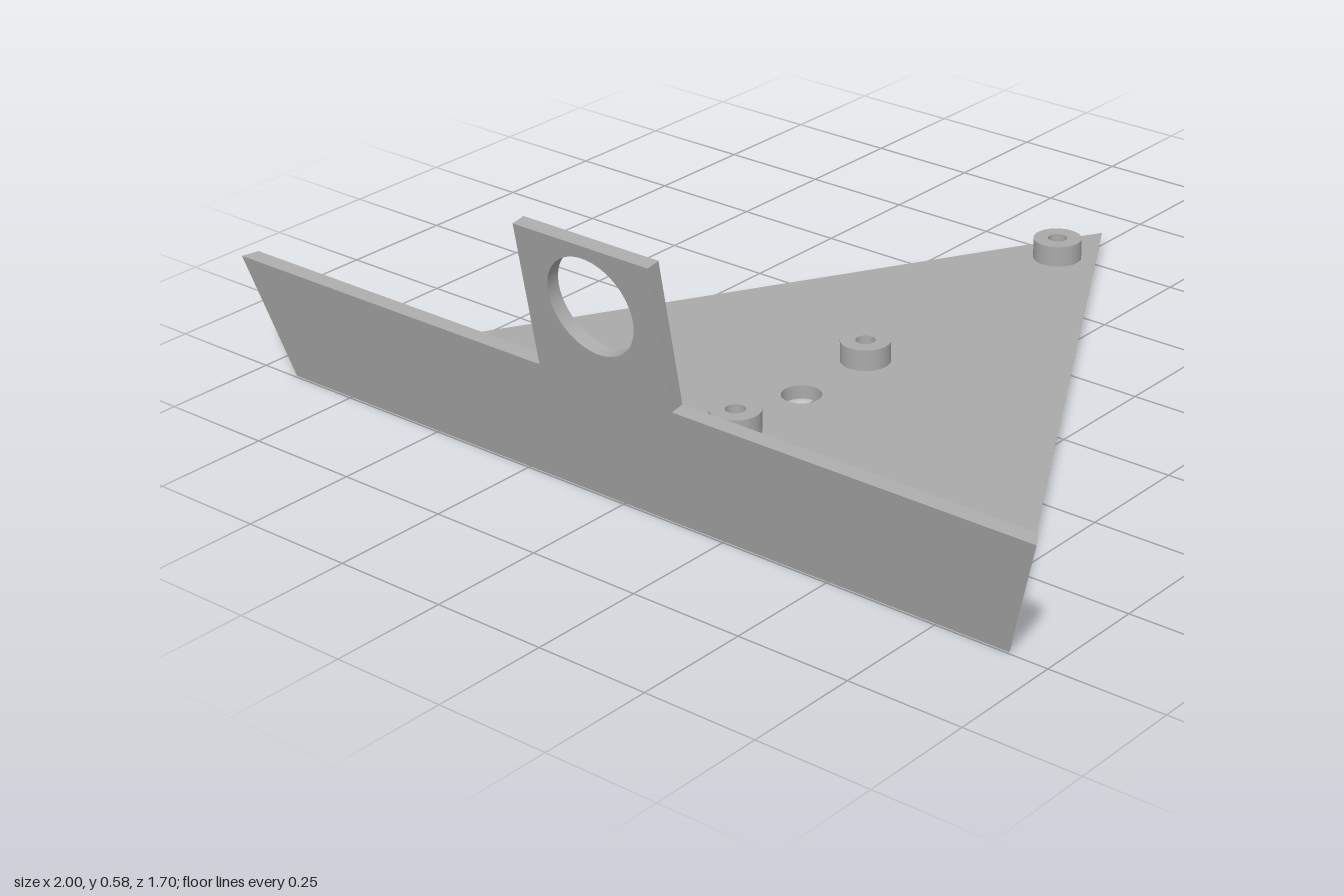
import * as THREE from 'three';

const SLOPE = Math.tan(Math.PI / 6); // half width per unit of depth
const APEX = -0.848, FRONT = 0.74, THICK = 0.03;
const TILT = THREE.MathUtils.degToRad(10.2);

function circleHole(x, y, r) {
  return new THREE.Path().absarc(x, y, r, 0, Math.PI * 2, true);
}

function polygon(points) {
  return new THREE.Shape(points.map(([x, y]) => new THREE.Vector2(x, y)));
}

// Move every vertex of a geometry by a rule
function warp(geometry, rule) {
  const pos = geometry.attributes.position;
  const v = new THREE.Vector3();
  for (let i = 0; i < pos.count; i++) {
    rule(v.fromBufferAttribute(pos, i));
    pos.setXYZ(i, v.x, v.y, v.z);
  }
  geometry.computeVertexNormals();
  return geometry;
}

// One layer of the triangular plate, sides leaning in towards the bottom
function plateLayer(y0, y1, notch) {
  const half = (z) => (z - APEX) * SLOPE;
  const side = [[half(FRONT), FRONT]];
  if (notch) {
    const za = 0.605, zb = -0.705;
    side.push([half(za), za], [half(za) - notch, za], [half(zb) - notch, zb], [half(zb), zb]);
  }
  const mirrored = side.map(([x, z]) => [-x, z]).reverse();
  const outline = [...side, [0, APEX], ...mirrored];
  const shape = polygon(outline.map(([x, z]) => [x, -z]));
  shape.holes.push(circleHole(0, -0.213, 0.042));
  const geo = new THREE.ExtrudeGeometry(shape, { depth: y1 - y0, bevelEnabled: false, curveSegments: 32 });
  geo.rotateX(-Math.PI / 2).translate(0, y0, 0);
  return warp(geo, (v) => {
    const shift = 0.01 * (1 - v.y / THICK);
    if (Math.hypot(v.x, v.z - 0.213) < 0.05) return;
    if (v.z > FRONT - 0.01) v.x -= Math.sign(v.x) * shift * SLOPE;
    else v.z += shift;
  });
}

export function createModel() {
  const model = new THREE.Group();
  const grey = new THREE.MeshStandardMaterial({ color: 0xaaaaaa });
  grey.name = 'grey';

  const add = (name, geometry) => {
    const mesh = new THREE.Mesh(geometry, grey);
    mesh.name = name;
    model.add(mesh);
    return mesh;
  };

  // Triangular base, the lower layer notched along both sides
  add('baseLower', plateLayer(0, 0.02, 0.01));
  add('baseUpper', plateLayer(0.02, THICK, 0));

  // Leaning front wall with a pierced tab and mitred ends
  const wall = polygon([
    [-0.912, 0], [0.912, 0], [1, 0.267], [0.168, 0.267],
    [0.168, 0.582], [-0.168, 0.582], [-0.168, 0.267], [-1, 0.267],
  ]);
  wall.holes.push(circleHole(0, 0.448, 0.106));
  const wallGeo = new THREE.ExtrudeGeometry(wall, { depth: THICK, bevelEnabled: false, curveSegments: 48 });
  wallGeo.translate(0, 0, -THICK);
  warp(wallGeo, (v) => {
    if (v.z < -0.01 && Math.abs(v.x) > 0.5) v.x -= Math.sign(v.x) * 0.018;
  });
  wallGeo.rotateX(TILT).translate(0, 0, 0.745);
  add('frontWall', wallGeo);

  // Ring-shaped standoffs on the base
  const ring = new THREE.Shape().absarc(0, 0, 0.053, 0, Math.PI * 2, false);
  ring.holes.push(circleHole(0, 0, 0.021));
  const ringGeo = new THREE.ExtrudeGeometry(ring, { depth: 0.046, bevelEnabled: false, curveSegments: 32 });
  ringGeo.rotateX(-Math.PI / 2);
  const spots = [[0, -0.675], [0, 0.005], [0, 0.418], [-0.767, 0.655], [0.767, 0.655]];
  spots.forEach(([x, z], i) => add(`standoff${i + 1}`, ringGeo).position.set(x, THICK, z));

  return model;
}
